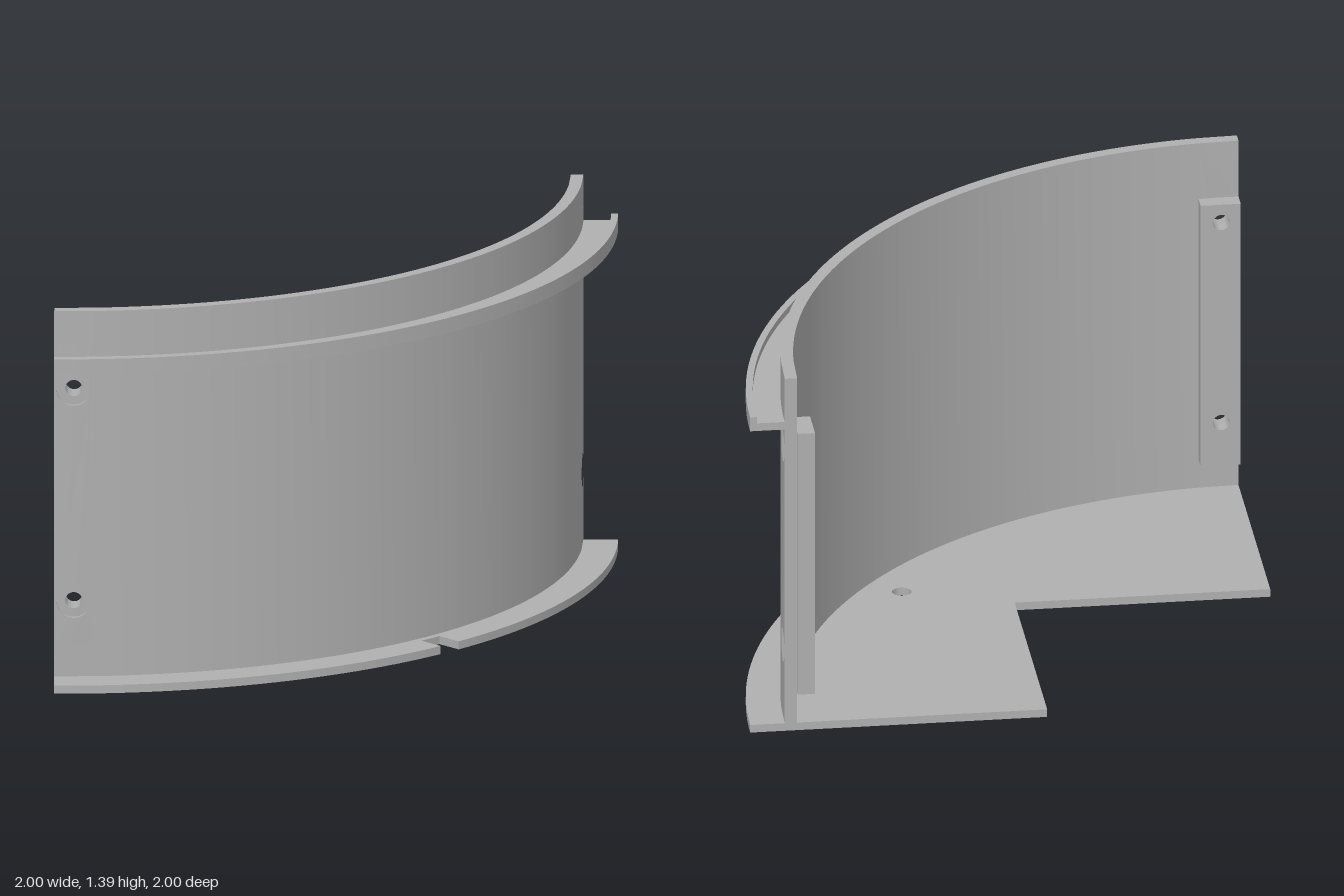
import * as THREE from 'three';
import { toCreasedNormals } from 'three/addons/utils/BufferGeometryUtils.js';

// Radii are measured from the corner axis of the quarter drum
const R_IN = 1.83, R_WALL = 1.875, R_LIP = 1.975, R_OUT = 2;
const HEIGHT = 1.39, FLOOR = 0.03, END = 0.145;
const Q = Math.PI / 4, HALF = Math.PI / 2;
const HOLE_X = 0.07, HOLE_YS = [0.31, 1.1];

const V = (x, y) => new THREE.Vector2(x, y);

// Points on an arc around (cx, cy)
function arc(r, a0, a1, n = 64, cx = 0, cy = 0) {
  return Array.from({ length: n + 1 }, (_, i) => {
    const a = a0 + (a1 - a0) * i / n;
    return V(cx + r * Math.cos(a), cy + r * Math.sin(a));
  });
}

function addHole(shape, x, y, r) {
  const hole = new THREE.Path();
  hole.absarc(x, y, r, 0, Math.PI * 2, true);
  shape.holes.push(hole);
}

function extrude(shape, depth) {
  return new THREE.ExtrudeGeometry(shape, { depth, bevelEnabled: false, curveSegments: 24 });
}

// Plan outline (x, z) raised from y0 to y1
function slab(shape, y0, y1) {
  return extrude(shape, y1 - y0).rotateX(HALF).translate(0, y1, 0);
}

export function createModel() {
  const grey = new THREE.MeshStandardMaterial({ color: 0xb0b0b0 });
  grey.name = 'plain grey';
  const model = new THREE.Group();
  model.name = 'quarterDrumHousing';

  const add = (name, geometry) => {
    const mesh = new THREE.Mesh(toCreasedNormals(geometry, 0.5), grey);
    mesh.name = name;
    mesh.position.set(-1, 0, -1);
    model.add(mesh);
  };

  // Floor plate with square cut-out, edge notch and round hole
  const nw = 0.045, depthR = 1.9, d = Math.asin(nw / R_OUT);
  const notch = [-1, 1].map(s => {
    const a = Q + s * Math.atan(nw / depthR), r = Math.hypot(depthR, nw);
    return V(r * Math.cos(a), r * Math.sin(a));
  });
  const floor = new THREE.Shape([
    V(0.925, 0.925), V(0.925, 0),
    ...arc(R_OUT, 0, Q - d, 32), ...notch, ...arc(R_OUT, Q + d, HALF, 32),
    V(0, 0.925),
  ]);
  addHole(floor, 1.315, 1.07, 0.035);
  add('floorPlate', slab(floor, 0, FLOOR));

  // Curved wall between the two drilled end strips
  const ao = Math.asin(END / R_WALL), ai = Math.asin(END / R_IN);
  add('curvedWall', slab(new THREE.Shape([
    ...arc(R_WALL, ao, HALF - ao), ...arc(R_IN, HALF - ai, ai),
  ]), FLOOR, HEIGHT));

  // Rim shelf with a hole on the diagonal
  const hc = 1.959 * Math.SQRT1_2, hr = 0.033;
  const shelf = new THREE.Shape([...arc(R_OUT, 0, HALF), ...arc(R_WALL, HALF, 0)]);
  addHole(shelf, hc, hc, hr);
  add('rimShelf', slab(shelf, 1.19, 1.22));

  // Upright lip on the rim, relieved where the hole bites into it
  const phi = Math.acos((R_LIP - 1.959) / hr);
  const bite = hr * Math.sin(phi) / R_LIP;
  add('rimLip', slab(new THREE.Shape([
    ...arc(R_OUT, 0, HALF),
    ...arc(R_LIP, HALF, Q + bite, 32),
    ...arc(hr, Q + phi, Q - phi, 12, hc, hc).slice(1, -1),
    ...arc(R_LIP, Q - bite, 0, 32),
  ]), 1.22, 1.245));

  // Drilled strip running from the end plane (x = 0) along side s
  const strip = (s, y0, y1, z0, z1, holeR, bend) => {
    const pts = [V(0, y0), V(END * s, y0), V(END * s, y1), V(0, y1)];
    const shape = new THREE.Shape(pts);
    HOLE_YS.forEach(y => addHole(shape, HOLE_X * s, y, holeR));
    const geo = extrude(shape, z1 - z0).translate(0, 0, z0);
    if (bend) {
      const p = geo.attributes.position;
      for (let i = 0; i < p.count; i++) {
        p.setZ(i, Math.sqrt(p.getZ(i) ** 2 - p.getX(i) ** 2));
      }
      geo.computeVertexNormals();
    }
    return s < 0 ? geo.rotateY(HALF) : geo;
  };

  // Both wall ends: counterbored outer layer, drilled inner layer, mounting pad
  for (const [s, side] of [[1, 'right'], [-1, 'left']]) {
    add(side + 'WallEndOuter', strip(s, FLOOR, HEIGHT, 1.86, R_WALL, 0.062, true));
    add(side + 'WallEndInner', strip(s, FLOOR, HEIGHT, R_IN, 1.86, 0.03, true));
    add(side + 'MountingPad', strip(s, 0.14, 1.17, 1.765, 1.828, 0.03, false));
  }
  return model;
}
